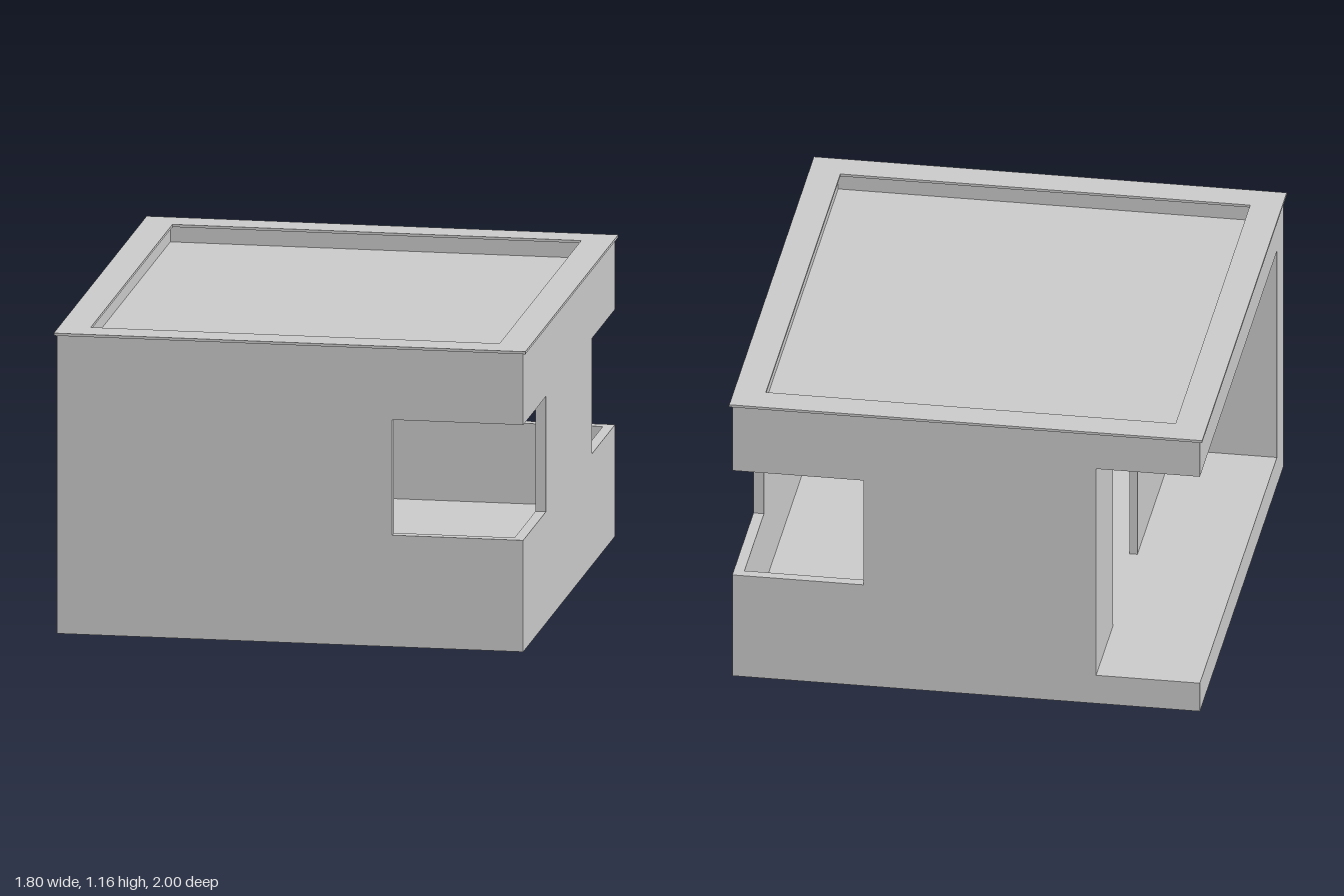
import * as THREE from 'three';

const W = 0.89, D = 0.99, H = 1.15;      // half width, half depth, wall height
const T = 0.04;                          // wall thickness
const SILL = 0.43, HEAD = 0.875;         // corner window heights
const FLOOR = 0.12, CEIL = 1.0;          // loggia opening heights

export function createModel() {
  const group = new THREE.Group();
  const material = new THREE.MeshStandardMaterial({ color: 0xcccccc, flatShading: true });

  const add = (name, geometry) => {
    const mesh = new THREE.Mesh(geometry, material);
    mesh.name = name;
    group.add(mesh);
    return mesh;
  };

  // box given by its minimum and maximum corners
  const box = (name, [x0, y0, z0], [x1, y1, z1]) => {
    add(name, new THREE.BoxGeometry(x1 - x0, y1 - y0, z1 - z0))
      .position.set((x0 + x1) / 2, (y0 + y1) / 2, (z0 + z1) / 2);
  };

  // wall plate with optional notches [edge, bottom, top] cut in from either end
  const wall = (name, half, low, high) => {
    const pts = [[-half, 0], [half, 0]];
    if (high) pts.push([half, high[1]], [high[0], high[1]], [high[0], high[2]], [half, high[2]]);
    pts.push([half, H], [-half, H]);
    if (low) pts.push([-half, low[2]], [low[0], low[2]], [low[0], low[1]], [-half, low[1]]);
    const shape = new THREE.Shape(pts.map(([a, b]) => new THREE.Vector2(a, b)));
    return add(name, new THREE.ExtrudeGeometry(shape, { depth: T, bevelEnabled: false }));
  };

  // horizontal rectangular frame
  const frame = (name, ox, oz, ix, iz, y, height) => {
    const rect = (Kind, x, z) => new Kind([[-x, -z], [x, -z], [x, z], [-x, z]].map(([a, b]) => new THREE.Vector2(a, b)));
    const shape = rect(THREE.Shape, ox, oz);
    shape.holes.push(rect(THREE.Path, ix, iz));
    const geometry = new THREE.ExtrudeGeometry(shape, { depth: height, bevelEnabled: false });
    geometry.rotateX(-Math.PI / 2);
    add(name, geometry).position.y = y;
  };

  // outer walls: corner windows on +x, loggia at the -x back corner
  wall('frontWall', W, null, [0.39, SILL, HEAD]).position.z = D - T;
  wall('backWall', W, [-0.495, FLOOR, CEIL], [0.39, SILL, HEAD]).position.z = -D;
  const right = wall('windowSideWall', D, [-0.49, SILL, HEAD], [0.5, SILL, HEAD]);
  const left = wall('loggiaSideWall', D, [0.83, FLOOR, CEIL], null);
  right.rotation.y = left.rotation.y = -Math.PI / 2;
  right.position.x = W;
  left.position.x = -W + T;

  // floor and roof slabs
  box('floorSlab', [-W + 0.02, 0, -D + 0.02], [W - 0.02, FLOOR, D - 0.02]);
  box('roofSlab', [-W + 0.02, CEIL, -D + 0.02], [W - 0.02, 1.09, D - 0.02]);

  // loggia partition with a doorway, and the solid pier at its end
  box('partitionBack', [-0.495, FLOOR, -D + 0.001], [-0.465, CEIL, -0.595]);
  box('partitionFront', [-0.495, FLOOR, -0.015], [-0.465, CEIL, D - T]);
  box('loggiaPier', [-W + 0.02, FLOOR, 0.83], [-0.48, CEIL, D - 0.02]);

  // parapet and its overhanging coping
  frame('parapet', W - 0.02, D - 0.02, 0.79, 0.89, 1.08, H - 1.08);
  frame('coping', 0.9, 1, 0.78, 0.88, H, 0.01);

  return group;
}
